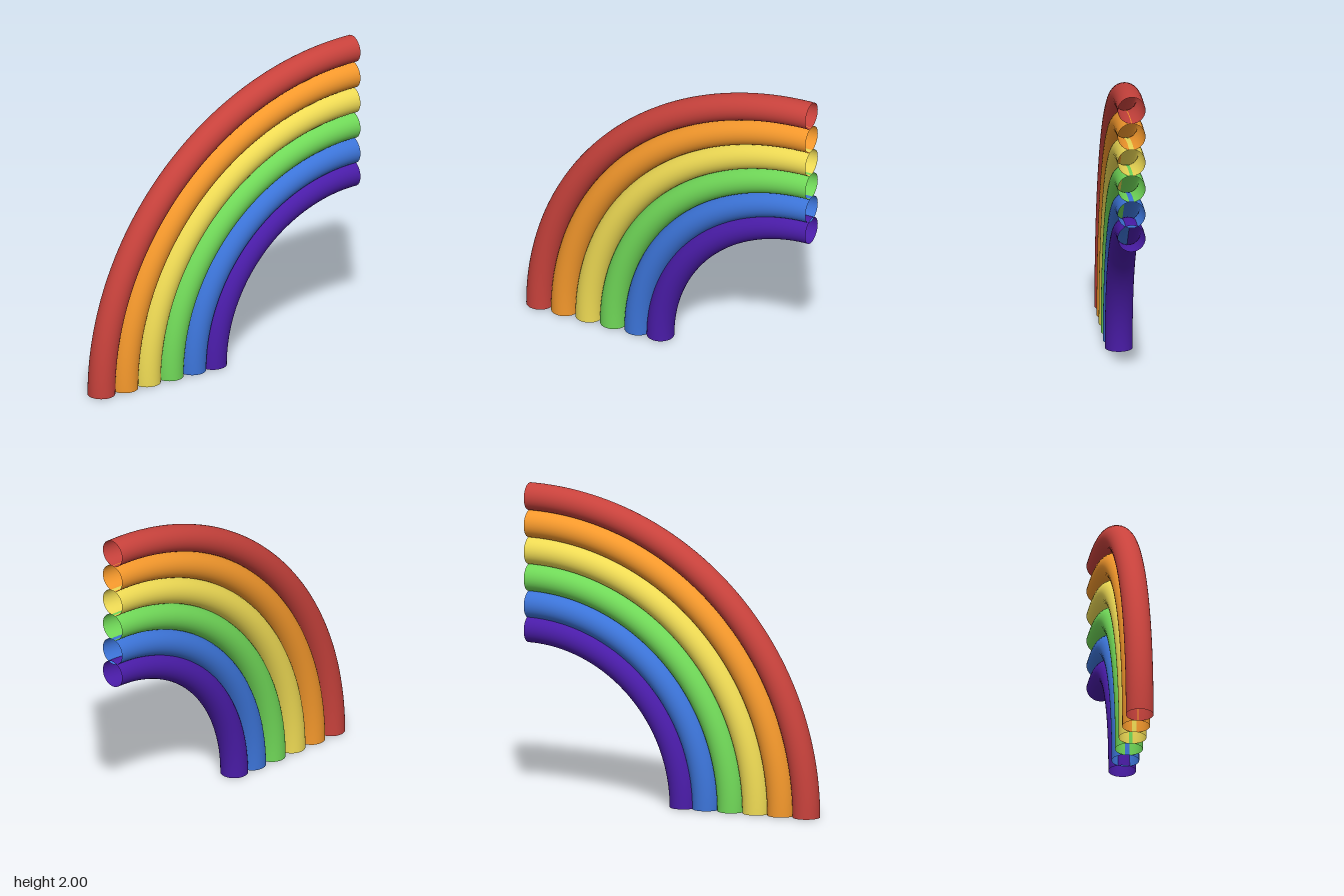
import * as THREE from 'three';

// Half a rainbow: nested open tubes, each a quarter circle about (1, 0, 0)
const TUBE_RADIUS = 0.0875;
const BANDS = [
  ['redBand', 1.9125, 0xc8423c],
  ['orangeBand', 1.738, 0xf4982c],
  ['yellowBand', 1.566, 0xeeda54],
  ['greenBand', 1.393, 0x70d858],
  ['blueBand', 1.221, 0x3c74d8],
  ['violetBand', 1.064, 0x4a1ca8],
];

export function createModel() {
  const rainbow = new THREE.Group();
  rainbow.name = 'rainbow';

  for (const [name, radius, color] of BANDS) {
    // Hollow quarter ring, turned so it rises from the ground to the apex
    const geometry = new THREE.TorusGeometry(radius, TUBE_RADIUS, 32, 64, Math.PI / 2);
    geometry.rotateZ(Math.PI / 2);
    geometry.translate(1, 0, 0);
    const material = new THREE.MeshStandardMaterial({ color, side: THREE.DoubleSide });
    const band = new THREE.Mesh(geometry, material);
    band.name = name;
    rainbow.add(band);
  }
  return rainbow;
}
